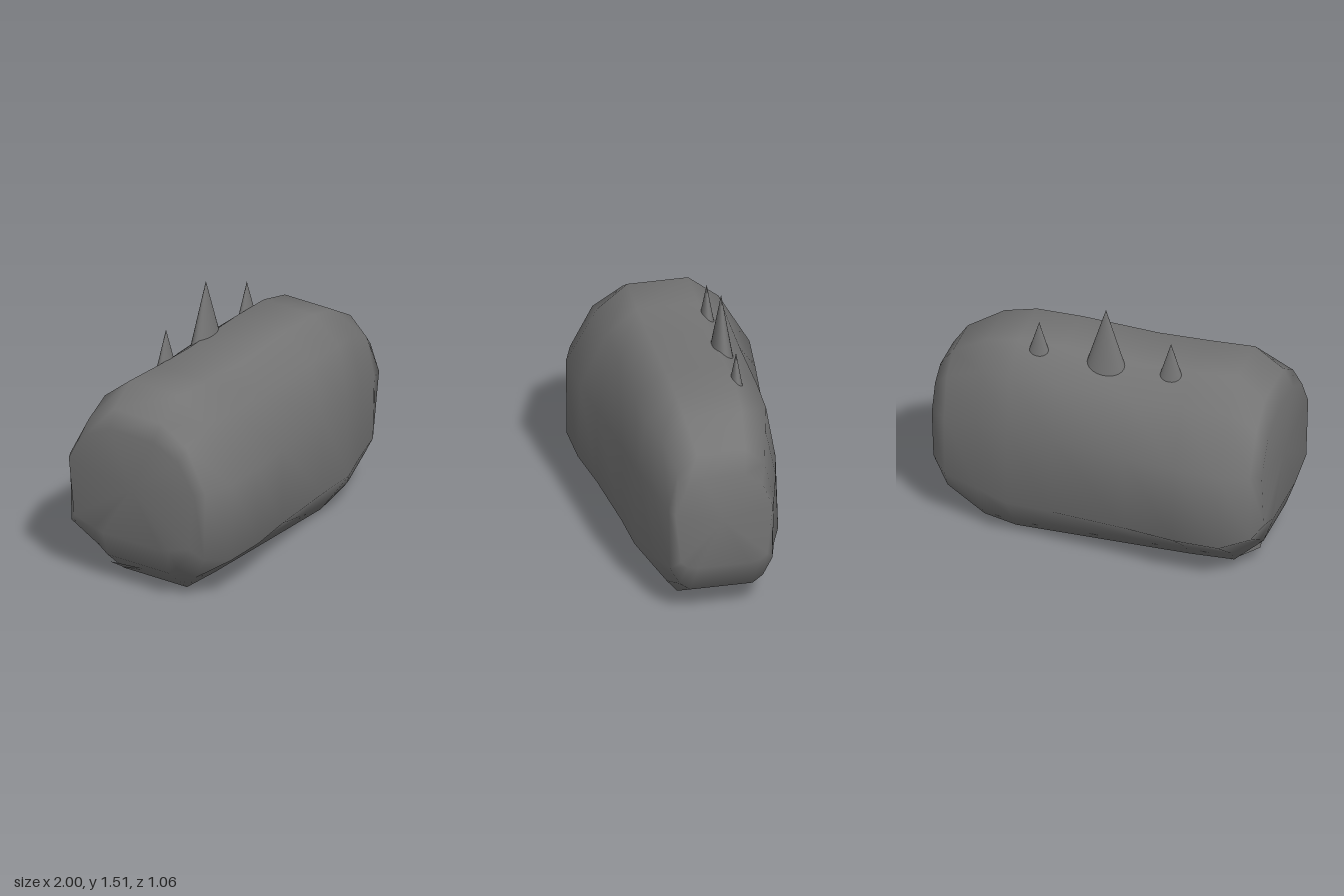
import * as THREE from 'three';

const GREY = 0x757575;
const material = new THREE.MeshStandardMaterial({ color: GREY });
const sheet = new THREE.MeshStandardMaterial({ color: GREY, side: THREE.DoubleSide });

// Stations along the body: x, bottom, height of lower edge, top,
// then half widths of the base, lower edge, waist, shoulder and crown
const STATIONS = [
  [-1, 0.32, 0.38, 0.98, 0.2, 0.4, 0.435, 0.32, 0.15],
  [-0.94, 0.16, 0.31, 1.08, 0.21, 0.46, 0.47, 0.34, 0.165],
  [-0.77, 0.01, 0.26, 1.19, 0.22, 0.525, 0.53, 0.35, 0.175],
  [-0.5, 0, 0.26, 1.18, 0.22, 0.52, 0.505, 0.35, 0.175],
  [-0.2, 0, 0.26, 1.175, 0.22, 0.475, 0.47, 0.35, 0.175],
  [0.25, 0, 0.26, 1.2, 0.22, 0.43, 0.425, 0.35, 0.175],
  [0.52, 0, 0.26, 1.2, 0.22, 0.415, 0.4, 0.345, 0.175],
  [0.71, 0.035, 0.28, 1.16, 0.21, 0.35, 0.36, 0.3, 0.165],
  [0.92, 0.16, 0.31, 1.035, 0.18, 0.295, 0.305, 0.25, 0.14],
  [1, 0.34, 0.39, 0.92, 0.15, 0.25, 0.28, 0.22, 0.12],
];

// Closed cross-section of one station, up the +z side and down the -z side
function crossSection([, bottom, lowY, top, base, low, waist, shoulder, crown]) {
  const half = [
    [base, bottom],
    [base + 0.06, bottom + 0.3 * (lowY - bottom)],
    [low, lowY],
    [waist, bottom + 0.61 * (top - bottom)],
    [shoulder, bottom + 0.88 * (top - bottom)],
    [crown, top],
  ];
  return [...half, ...half.slice().reverse().map(([z, y]) => [-z, y])];
}

function bodyGeometry() {
  const n = 12;
  const positions = [];
  const index = [];
  for (const station of STATIONS) {
    for (const [z, y] of crossSection(station)) positions.push(station[0], y, z);
  }
  for (let s = 0; s < STATIONS.length - 1; s++) {
    for (let i = 0; i < n; i++) {
      const a = s * n + i;
      const b = s * n + (i + 1) % n;
      index.push(a, a + n, b, b, a + n, b + n);
    }
  }
  // Flat caps at both ends
  const last = (STATIONS.length - 1) * n;
  const centre = STATIONS.length * n;
  positions.push(-1, 0.65, 0, 1, 0.63, 0);
  for (let i = 0; i < n; i++) {
    const j = (i + 1) % n;
    index.push(centre, i, j, centre + 1, last + j, last + i);
  }
  const geometry = new THREE.BufferGeometry();
  geometry.setAttribute('position', new THREE.Float32BufferAttribute(positions, 3));
  geometry.setIndex(index);
  geometry.computeVertexNormals();
  return geometry;
}

// Oval cone sunk into the sloping top
function spike(name, x, tip, radiusX, radiusZ) {
  const base = 1.1;
  const geometry = new THREE.ConeGeometry(1, 1, 24, 4);
  geometry.scale(radiusX, tip - base, radiusZ);
  const mesh = new THREE.Mesh(geometry, material);
  mesh.name = name;
  mesh.position.set(x, (tip + base) / 2, -0.2);
  return mesh;
}

// Thin loose flap under the wide end
function flap() {
  const geometry = new THREE.BufferGeometry();
  geometry.setAttribute('position', new THREE.Float32BufferAttribute([
    -0.75, 0, 0.21, -0.75, 0, -0.21,
    -0.88, 0.11, 0.05, -0.92, 0.11, -0.21], 3));
  geometry.setIndex([0, 2, 1, 1, 2, 3]);
  geometry.computeVertexNormals();
  const mesh = new THREE.Mesh(geometry, sheet);
  mesh.name = 'bottomFlap';
  return mesh;
}

export function createModel() {
  const model = new THREE.Group();
  const body = new THREE.Mesh(bodyGeometry(), material);
  body.name = 'body';
  model.add(
    body,
    spike('middleSpike', -0.005, 1.51, 0.13, 0.067),
    spike('rightSpike', -0.39, 1.355, 0.08, 0.044),
    spike('leftSpike', 0.39, 1.355, 0.08, 0.044),
    flap(),
  );
  return model;
}
